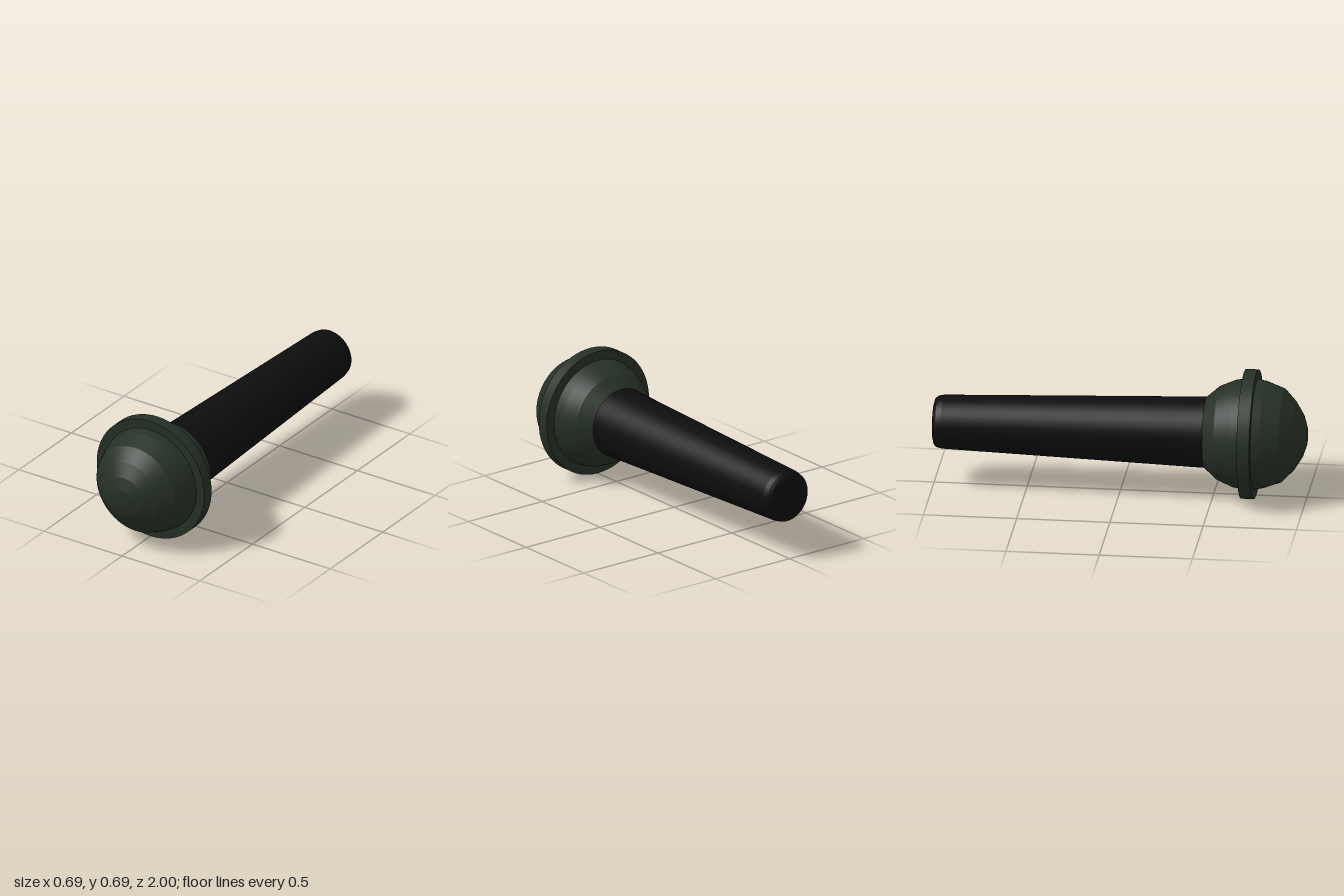
import * as THREE from 'three';
import { toCreasedNormals } from 'three/addons/utils/BufferGeometryUtils.js';

const AXIS_HEIGHT = 0.346;

export function createModel() {
  const model = new THREE.Group();
  model.name = 'microphone';

  const green = new THREE.MeshStandardMaterial({ color: 0x253026 });
  green.name = 'dark green';
  const black = new THREE.MeshStandardMaterial({ color: 0x0d0d0d });
  black.name = 'black';

  // Turns a profile of [radius, z] points, back to front, around the z axis.
  // Bands stay crisp along the profile and smooth around it.
  function turned(name, profile, material) {
    const points = profile.map(([r, z]) => new THREE.Vector2(r, z));
    const geometry = toCreasedNormals(new THREE.LatheGeometry(points, 64), 0.15);
    geometry.rotateX(Math.PI / 2);
    const mesh = new THREE.Mesh(geometry, material);
    mesh.name = name;
    mesh.position.y = AXIS_HEIGHT;
    model.add(mesh);
  }

  // Tapered grip with a rounded butt
  turned('handle', [
    [0, -1], [0.105, -1], [0.125, -0.994], [0.138, -0.98], [0.144, -0.95],
    [0.19, 0.458], [0, 0.458],
  ], black);

  // Banded ball head
  turned('head', [
    [0, 0.457], [0.19, 0.457], [0.25, 0.525], [0.286, 0.61], [0.301, 0.692],
    [0.286, 0.775], [0.25, 0.872], [0.184, 0.935], [0.114, 0.979],
    [0.05, 1], [0, 1],
  ], green);

  // Flat band around the widest part of the head
  turned('headRing', [
    [0.28, 0.66], [0.346, 0.66], [0.346, 0.728], [0.28, 0.728],
  ], green);

  return model;
}
